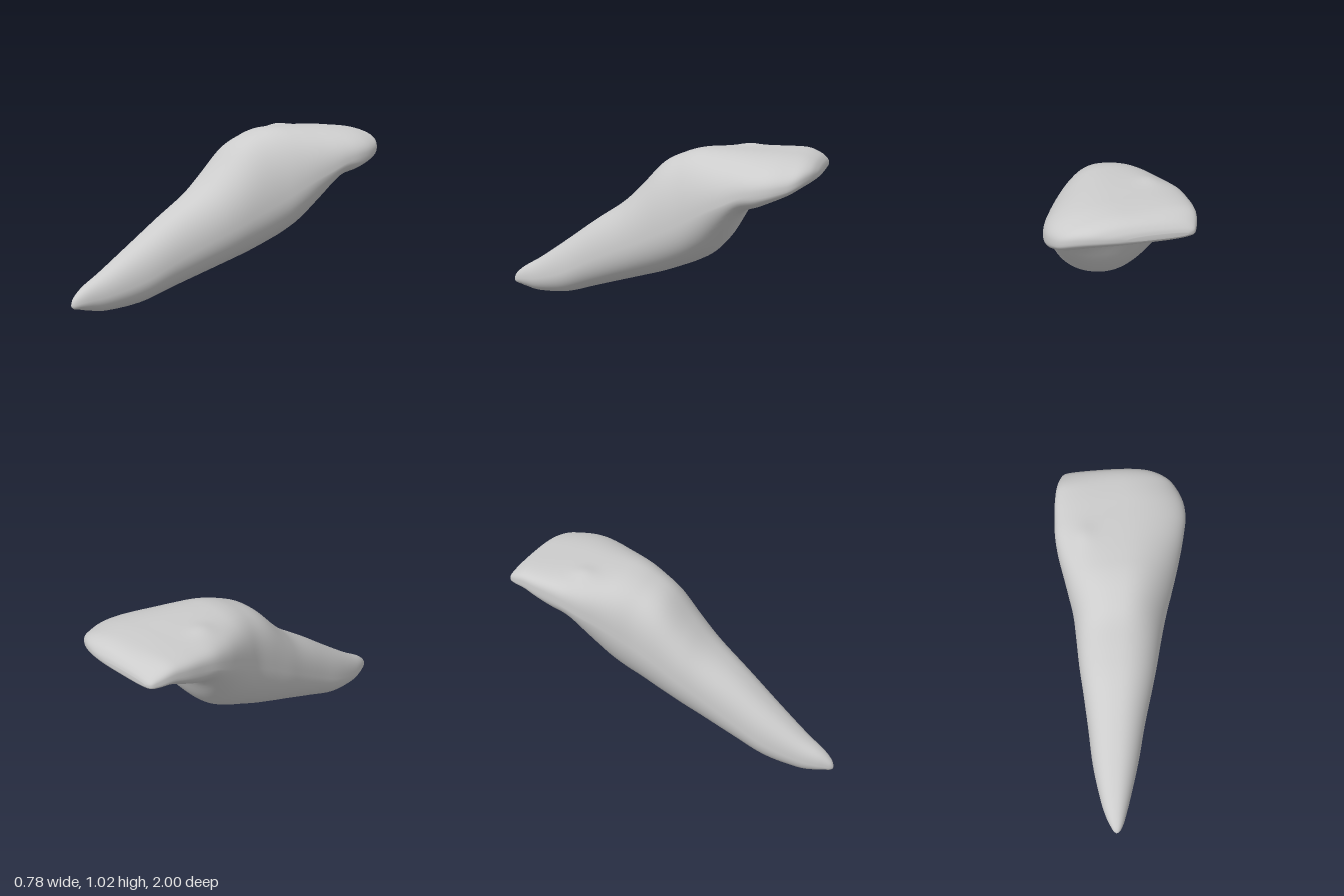
import * as THREE from 'three';

// Cross-sections from root tip to biting edge: z, xMin, xMax, yBottom, yTop, y of the widest point
const SECTIONS = [
  [1.0, -0.172, -0.158, 0.045, 0.065, 0.055],
  [0.985, -0.187, -0.14, 0.033, 0.095, 0.06],
  [0.95, -0.205, -0.12, 0.026, 0.13, 0.07],
  [0.9, -0.225, -0.1, 0.014, 0.165, 0.08],
  [0.8, -0.25, -0.065, 0.0, 0.225, 0.1],
  [0.6, -0.28, 0.0, 0.02, 0.365, 0.17],
  [0.4, -0.29, 0.055, 0.085, 0.51, 0.28],
  [0.2, -0.302, 0.118, 0.152, 0.645, 0.39],
  [0.07, -0.312, 0.157, 0.195, 0.765, 0.46],
  [-0.07, -0.316, 0.195, 0.242, 0.91, 0.54],
  [-0.2, -0.322, 0.235, 0.295, 0.975, 0.61],
  [-0.3, -0.34, 0.272, 0.34, 1.003, 0.67],
  [-0.4, -0.36, 0.308, 0.4, 1.01, 0.73],
  [-0.5, -0.38, 0.34, 0.51, 1.012, 0.78],
  [-0.6, -0.39, 0.367, 0.67, 1.012, 0.83],
  [-0.7, -0.385, 0.386, 0.73, 1.01, 0.86],
  [-0.8, -0.377, 0.376, 0.785, 1.008, 0.88],
  [-0.9, -0.358, 0.325, 0.84, 1.0, 0.9],
  [-0.96, -0.335, 0.235, 0.866, 0.98, 0.91],
  [-0.99, -0.315, 0.13, 0.885, 0.95, 0.912],
  [-1.0, -0.28, 0.02, 0.9, 0.925, 0.912],
];
const AROUND = 80, STEPS = 5;

const smooth = THREE.MathUtils.smoothstep;
const bump = (v, centre, radius) => Math.exp(-(((v - centre) / radius) ** 2));
const power = (v, p) => Math.sign(v) * Math.abs(v) ** p;

// Smooth curve through one column of the section table
function sample(t, column) {
  const last = SECTIONS.length - 1;
  const i = Math.min(Math.floor(t), last - 1), f = t - i;
  const at = k => SECTIONS[THREE.MathUtils.clamp(k, 0, last)][column];
  const a = at(i - 1), b = at(i), c = at(i + 1), d = at(i + 2);
  return b + 0.5 * f * (c - a + f * (2 * a - 5 * b + 4 * c - d + f * (3 * (b - c) + d - a)));
}

function toothGeometry() {
  const positions = [], index = [];
  const rows = (SECTIONS.length - 1) * STEPS + 1;
  for (let r = 0; r < rows; r++) {
    const [z, x0, x1, bottom, top, mid] = [0, 1, 2, 3, 4, 5].map(c => sample(r / STEPS, c));
    const crown = smooth(-z, 0.0, 0.6);
    const rim = smooth(-z, 0.5, 0.75);
    const tilt = 0.035 * smooth(-z, -0.5, 0.2) * (1 - smooth(-z, 0.85, 1));
    const hump = bump(z, -0.48, 0.14);
    const hollow = 0.065 * bump(z, -0.73, 0.13);
    for (let j = 0; j < AROUND; j++) {
      const a = (j / AROUND) * Math.PI * 2, c = Math.cos(a), s = Math.sin(a);
      const u = power(c, s > 0 ? 0.87 : 1 - 0.15 * rim);
      const x = (x0 + x1) / 2 + u * (x1 - x0) / 2;
      let y = mid - tilt * u * Math.abs(u);
      if (s > 0) {
        // Broad face, squarer towards the left, with a small raised spot
        const side = smooth(c, -0.6, 0.6);
        y += (top - mid) * s ** THREE.MathUtils.lerp(0.78 - 0.18 * crown, 0.9 - 0.12 * crown, side);
        y += 0.014 * s * bump(x, -0.22, 0.06) * bump(z, -0.54, 0.07);
      } else {
        // Tapered root and bulge; behind the crown a hollow inside a raised rim
        y -= (mid - bottom) * Math.abs(s) ** (1 + 0.25 * hump - 0.3 * rim);
        y += hollow * s * s * bump(u, 0, 0.5);
      }
      positions.push(x, y, z);
    }
  }
  for (let r = 0; r < rows - 1; r++) {
    for (let j = 0; j < AROUND; j++) {
      const k = (j + 1) % AROUND;
      const a = r * AROUND + j, b = r * AROUND + k;
      const c = a + AROUND, d = b + AROUND;
      index.push(a, c, b, b, c, d);
    }
  }
  // Close both ends
  const tip = rows * AROUND, edge = tip + 1, lastRow = (rows - 1) * AROUND;
  positions.push(-0.165, 0.055, 1.0, -0.13, 0.912, -1.0);
  for (let j = 0; j < AROUND; j++) {
    const k = (j + 1) % AROUND;
    index.push(tip, j, k, edge, lastRow + k, lastRow + j);
  }
  const geometry = new THREE.BufferGeometry();
  geometry.setAttribute('position', new THREE.Float32BufferAttribute(positions, 3));
  geometry.setIndex(index);
  geometry.computeVertexNormals();
  return geometry;
}

export function createModel() {
  const group = new THREE.Group();
  group.name = 'incisorTooth';
  const enamel = new THREE.MeshStandardMaterial({ color: 0xcccccc });
  enamel.name = 'enamel grey';
  const tooth = new THREE.Mesh(toothGeometry(), enamel);
  tooth.name = 'crownAndRoot';
  group.add(tooth);
  return group;
}
